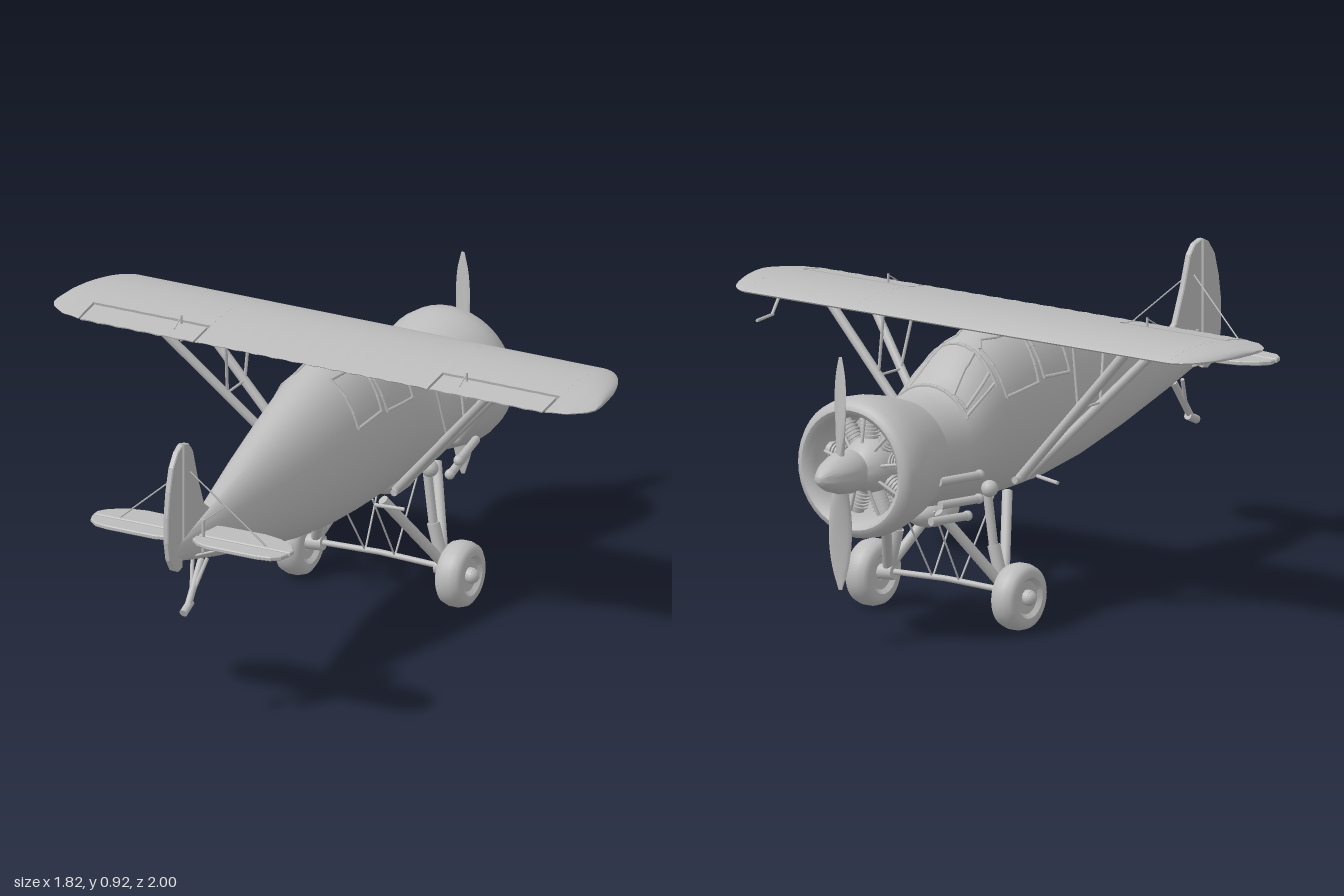
import * as THREE from 'three';
import { toCreasedNormals } from 'three/addons/utils/BufferGeometryUtils.js';

const V = (x, y, z) => new THREE.Vector3(x, y, z);

// Closed loft through rings of equal point count, capped at both ends
function loft(rings, crease = 0.7) {
  const n = rings[0].length, pos = [], idx = [];
  rings.forEach(r => r.forEach(p => pos.push(p.x, p.y, p.z)));
  for (let i = 0; i < rings.length - 1; i++) {
    for (let j = 0; j < n; j++) {
      const a = i * n + j, b = i * n + (j + 1) % n;
      idx.push(a, b, a + n, b, b + n, a + n);
    }
  }
  const last = (rings.length - 1) * n;
  for (let j = 1; j < n - 1; j++) idx.push(0, j + 1, j, last, last + j, last + j + 1);
  const g = new THREE.BufferGeometry();
  g.setAttribute('position', new THREE.Float32BufferAttribute(pos, 3));
  g.setIndex(idx);
  return toCreasedNormals(g, crease);
}

// Fuselage stations: z, top, bottom, half width
const STATIONS = [
  [-0.6, 0.705, 0.38, 0.163], [-0.5, 0.71, 0.368, 0.165], [-0.45, 0.718, 0.362, 0.166],
  [-0.4, 0.757, 0.357, 0.167], [-0.35, 0.797, 0.352, 0.168], [-0.29, 0.832, 0.349, 0.168],
  [-0.2, 0.857, 0.347, 0.168], [-0.07, 0.867, 0.35, 0.165], [0.06, 0.855, 0.358, 0.157],
  [0.245, 0.81, 0.383, 0.13], [0.46, 0.75, 0.43, 0.095], [0.71, 0.672, 0.495, 0.05],
  [0.85, 0.64, 0.535, 0.024], [0.95, 0.615, 0.565, 0.008]];

function station(z) {
  let i = 0;
  while (i < STATIONS.length - 2 && z > STATIONS[i + 1][0]) i++;
  const a = STATIONS[i], b = STATIONS[i + 1], t = (z - a[0]) / (b[0] - a[0]);
  const [top, bot, w] = [1, 2, 3].map(k => a[k] + (b[k] - a[k]) * t);
  return { c: (top + bot) / 2, h: (top - bot) / 2, w };
}
function skin(z, angle) {
  const s = station(z);
  return V(s.w * Math.sin(angle), s.c + s.h * Math.cos(angle), z);
}
function skinAtHeight(z, y, side) {
  const s = station(z);
  return skin(z, side * Math.acos(Math.max(-1, Math.min(1, (y - s.c) / s.h))));
}

// Wing outline and airfoil
const round = t => Math.sqrt(Math.max(0, 1 - t * t));
const lead = x => -0.02 - 0.29 * round(Math.max(0, (Math.abs(x) - 0.78) / 0.131));
const trail = x => -0.02 + 0.1 * round(Math.max(0, (Math.abs(x) - 0.75) / 0.161))
  - 0.006 * Math.abs(Math.sin(Math.PI * x / 0.065));
function wingPanel(x0, x1, cutFront, cutBack) {
  const rings = [], steps = Math.ceil(Math.abs(x1 - x0) / 0.0125), n = 12;
  for (let i = 0; i <= steps; i++) {
    const x = x0 + (x1 - x0) * i / steps, l = lead(x), t = trail(x), c = t - l;
    const za = Math.max(l, cutFront ?? l), zb = Math.min(t, cutBack ?? t), ring = [];
    for (let j = 0; j < 2 * n; j++) {
      const u = j <= n ? j / n : (2 * n - j) / n;
      const z = za + (zb - za) * (1 - Math.cos(Math.PI * u)) / 2;
      const f = Math.max(0, Math.min(1, (z - l) / c));
      const shape = Math.sin(Math.PI * Math.pow(f, 0.75)) * c / 0.39;
      ring.push(V(x, 0.877 + (j <= n ? 0.026 : -0.01) * shape + (j <= n ? 0.002 : -0.002), z));
    }
    rings.push(ring);
  }
  return loft(rings, 0.6);
}

// Thin plate from an outline, centred on its thickness
function plate(points, depth) {
  const g = new THREE.ExtrudeGeometry(new THREE.Shape(points.map(p => new THREE.Vector2(...p))),
    { depth: depth - 0.006, bevelThickness: 0.003, bevelSize: 0.003, bevelOffset: -0.003, bevelSegments: 1 });
  return g.translate(0, 0, -(depth - 0.006) / 2);
}

export function createModel() {
  const model = new THREE.Group();
  const grey = new THREE.MeshStandardMaterial({ color: 0xbcbcbc, side: THREE.DoubleSide });
  grey.name = 'airframeGrey';
  const add = (name, geo, x = 0, y = 0, z = 0) => {
    const m = new THREE.Mesh(geo, grey);
    m.name = name;
    m.position.set(x, y, z);
    model.add(m);
    return m;
  };
  const rod = (name, a, b, r, r2 = r, sides = 10) => {
    const d = b.clone().sub(a);
    const m = add(name, new THREE.CylinderGeometry(r2, r, d.length(), sides));
    m.position.copy(a).addScaledVector(d, 0.5);
    m.quaternion.setFromUnitVectors(V(0, 1, 0), d.normalize());
    return m;
  };
  // Revolved around the nose axis: radius, distance forward
  const nose = (name, pts) => add(name, toCreasedNormals(new THREE.LatheGeometry(
    pts.map(p => new THREE.Vector2(...p)), 40).rotateX(-Math.PI / 2), 0.8), 0, 0.54, 0);

  add('fuselage', loft(STATIONS.map(s => Array.from({ length: 40 }, (_, j) => skin(s[0], j / 40 * Math.PI * 2)))));

  // Cowling, engine, spinner and propeller
  nose('cowling', [[0.165, 0.565], [0.18, 0.61], [0.198, 0.67], [0.211, 0.73], [0.215, 0.77], [0.21, 0.81],
    [0.198, 0.83], [0.182, 0.835], [0.168, 0.826], [0.158, 0.8], [0.155, 0.76], [0.155, 0.64], [0, 0.64]]);
  nose('crankcase', [[0.085, 0.64], [0.085, 0.75], [0.07, 0.79], [0.045, 0.81], [0.045, 0.84]]);
  nose('spinner', [[0, 0.835], [0.064, 0.835], [0.066, 0.86], [0.06, 0.9], [0.045, 0.945], [0.025, 0.98], [0.01, 0.996], [0, 1]]);
  for (let i = 0; i < 9; i++) {
    const a = i / 9 * Math.PI * 2, dir = V(Math.sin(a), Math.cos(a), 0);
    const at = r => V(0, 0.54, -0.735).addScaledVector(dir, r);
    rod('engineCylinder', at(0.07), at(0.155), 0.024);
    for (let k = 0; k < 5; k++) rod('coolingFin', at(0.09 + k * 0.011), at(0.094 + k * 0.011), 0.031, 0.031, 14);
    rod('pushRod', at(0.06).add(V(0, 0, -0.045)), at(0.15).add(V(0, 0, -0.03)), 0.005);
  }
  for (const s of [1, -1]) {
    const rings = [];
    for (let i = 0; i <= 14; i++) {
      const t = i / 14, r = 0.03 + 0.325 * t, twist = 0.75 - 0.55 * t;
      const w = 0.012 + 0.023 * Math.sin(Math.PI * Math.min(1, t * 0.85 + 0.1)) - 0.012 * Math.pow(t, 8);
      const chord = t === 1 ? 0.006 : w, thick = 0.01 * (1 - t) + 0.003;
      rings.push(Array.from({ length: 14 }, (_, j) => {
        const q = j / 14 * Math.PI * 2, u = chord * Math.cos(q), v = thick * Math.sin(q);
        return V(s * (u * Math.cos(twist) - v * Math.sin(twist)), 0.54 + s * r, -0.885 + u * Math.sin(twist) + v * Math.cos(twist));
      }));
    }
    add('propellerBlade', loft(rings, 1.2));
  }

  // Wing
  add('wingCentre', wingPanel(-0.39, 0.39));
  // Tail surfaces
  const finG = plate([[-0.73, 0.66], [-0.77, 0.69], [-0.81, 0.79], [-0.84, 0.885], [-0.865, 0.915],
    [-0.898, 0.925], [-0.898, 0.56], [-0.8, 0.58]], 0.02);
  add('fin', finG.rotateY(Math.PI / 2));
  const rudderG = plate([[-0.906, 0.925], [-0.935, 0.91], [-0.965, 0.87], [-0.985, 0.8], [-0.997, 0.72], [-0.997, 0.64],
    [-0.985, 0.58], [-0.96, 0.54], [-0.93, 0.525], [-0.906, 0.53]], 0.018);
  add('rudder', rudderG.rotateY(Math.PI / 2));

  for (const s of [1, -1]) {
    const P = (x, y, z) => V(s * x, y, z);
    add('wingOuter', wingPanel(s * 0.39, s * 0.785, undefined, -0.025));
    add('wingTip', wingPanel(s * 0.785, s * 0.91));
    add('aileron', wingPanel(s * 0.398, s * 0.777, -0.013));
    rod('aileronHorn', P(0.48, 0.835, -0.005), P(0.48, 0.918, -0.005), 0.004);
    rod('aileronLink', P(0.48, 0.915, -0.005), P(0.48, 0.89, 0.04), 0.002);

    // Wing struts
    rod('rearWingStrut', P(0.155, 0.42, -0.17), P(0.56, 0.865, -0.01), 0.014);
    rod('frontWingStrut', P(0.155, 0.42, -0.2), P(0.56, 0.87, -0.2), 0.015);
    rod('strutFoot', P(0.16, 0.42, -0.145), P(0.16, 0.42, -0.235), 0.011);
    rod('juryStrut', P(0.37, 0.66, -0.09), P(0.35, 0.87, -0.04), 0.005);
    rod('juryStrut', P(0.37, 0.66, -0.2), P(0.35, 0.87, -0.2), 0.005);
    rod('juryBrace', P(0.37, 0.66, -0.09), P(0.37, 0.66, -0.2), 0.004);

    // Cabin window frames following the skin
    const windows = [
      [[0.06, 0.838], [-0.085, 0.84], [-0.08, 0.705], [0.055, 0.695]],
      [[-0.1, 0.84], [-0.25, 0.835], [-0.28, 0.815], [-0.27, 0.68], [-0.11, 0.695]],
      [[-0.3, 0.81], [-0.36, 0.77], [-0.435, 0.705], [-0.43, 0.67], [-0.305, 0.755]]];
    for (const w of windows) {
      w.forEach((p, i) => {
        const q = w[(i + 1) % w.length];
        for (let k = 0; k < 3; k++) {
          const at = t => skinAtHeight(p[0] + (q[0] - p[0]) * t, p[1] + (q[1] - p[1]) * t, s);
          rod('windowFrame', at(k / 3), at((k + 1) / 3), 0.0055, 0.0055, 6);
        }
      });
    }
    for (const z of [-0.3, -0.44]) {
      for (let k = 0; k < 6; k++) rod('windscreenFrame', skin(z, s * k / 6), skin(z, s * (k + 1) / 6), 0.006, 0.006, 6);
    }
    rod('windscreenPillar', skin(-0.44, s * 0.95), skin(-0.3, s * 0.95), 0.005);

    // Main wheels
    const tyre = [[0.02, -0.028], [0.05, -0.03], [0.062, -0.042], [0.08, -0.043], [0.094, -0.033], [0.101, -0.012],
      [0.101, 0.012], [0.094, 0.033], [0.08, 0.043], [0.062, 0.042], [0.05, 0.03], [0.02, 0.028]];
    add('wheel', toCreasedNormals(new THREE.LatheGeometry(tyre.map(p => new THREE.Vector2(...p)), 36)
      .rotateZ(Math.PI / 2), 0.7), s * 0.27, 0.105, -0.36);
    rod('axle', P(0.19, 0.115, -0.36), P(0.315, 0.105, -0.36), 0.024);
    add('hubCap', new THREE.SphereGeometry(0.024, 16, 10), s * 0.308, 0.105, -0.36);

    // Undercarriage legs
    rod('rearLeg', P(0.1, 0.37, -0.19), P(0.215, 0.125, -0.36), 0.016);
    rod('frontLeg', P(0.1, 0.37, -0.53), P(0.215, 0.125, -0.36), 0.016);
    rod('shockStrut', P(0.155, 0.42, -0.365), P(0.18, 0.23, -0.362), 0.014);
    rod('shockSleeve', P(0.178, 0.25, -0.362), P(0.215, 0.115, -0.36), 0.02);
    add('shockMount', new THREE.SphereGeometry(0.026, 14, 10), s * 0.165, 0.42, -0.365);
    rod('spreaderBar', P(0.23, 0.115, -0.36), P(0, 0.122, -0.36), 0.009);
    rod('braceWire', P(0.05, 0.118, -0.36), P(0.06, 0.36, -0.2), 0.003, 0.003, 6);
    rod('braceWire', P(0.05, 0.118, -0.36), P(0.06, 0.36, -0.5), 0.003, 0.003, 6);
    rod('step', P(0.13, 0.4, -0.08), P(0.22, 0.395, -0.1), 0.006);

    // Exhaust stubs
    for (const [x, y, z] of [[0.2, 0.485, -0.47], [0.205, 0.415, -0.48], [0.17, 0.36, -0.49]]) {
      rod('exhaustPipe', P(x, y, z), P(x - 0.025, y + 0.005, -0.63), 0.013);
      add('exhaustEnd', new THREE.SphereGeometry(0.016, 12, 8), s * x, y, z + 0.008);
    }

    // Tailplane and elevators
    const flat = (name, pts) => add(name, plate(pts.map(([x, z]) => [s * x, z]), 0.014).rotateX(Math.PI / 2), 0, 0.607, 0);
    flat('tailplane', [[0, 0.75], [0.06, 0.738], [0.2, 0.735], [0.26, 0.748], [0.31, 0.78], [0.332, 0.81], [0.33, 0.832], [0, 0.832]]);
    flat('elevator', [[0.02, 0.84], [0.33, 0.84], [0.32, 0.87], [0.295, 0.892], [0.25, 0.9], [0.09, 0.9], [0.05, 0.89], [0.02, 0.865]]);
    rod('elevatorHorn', P(0.04, 0.555, 0.835), P(0.04, 0.665, 0.835), 0.005);
    rod('controlCable', P(0.04, 0.66, 0.835), P(0.045, 0.66, 0.7), 0.002, 0.002, 6);
    rod('tailWire', P(0, 0.83, 0.86), P(0.25, 0.61, 0.82), 0.0025, 0.0025, 6);
    rod('tailStrut', P(0.01, 0.545, 0.84), P(0.17, 0.605, 0.82), 0.004);
    rod('tailSkidBrace', P(0.025, 0.52, 0.78), P(0, 0.41, 0.835), 0.006);
  }

  // Belly cooler, tail skid and airspeed probe
  add('bellyCooler', new THREE.SphereGeometry(1, 24, 14).scale(0.07, 0.05, 0.1), 0, 0.345, -0.43);
  rod('tailSkid', V(0, 0.51, 0.77), V(0, 0.39, 0.855), 0.011);
  rod('skidShoe', V(0, 0.395, 0.84), V(0, 0.375, 0.885), 0.013);
  rod('probeMast', V(0.69, 0.875, -0.26), V(0.69, 0.82, -0.3), 0.005);
  rod('probeTube', V(0.69, 0.82, -0.295), V(0.69, 0.815, -0.375), 0.005);
  return model;
}
